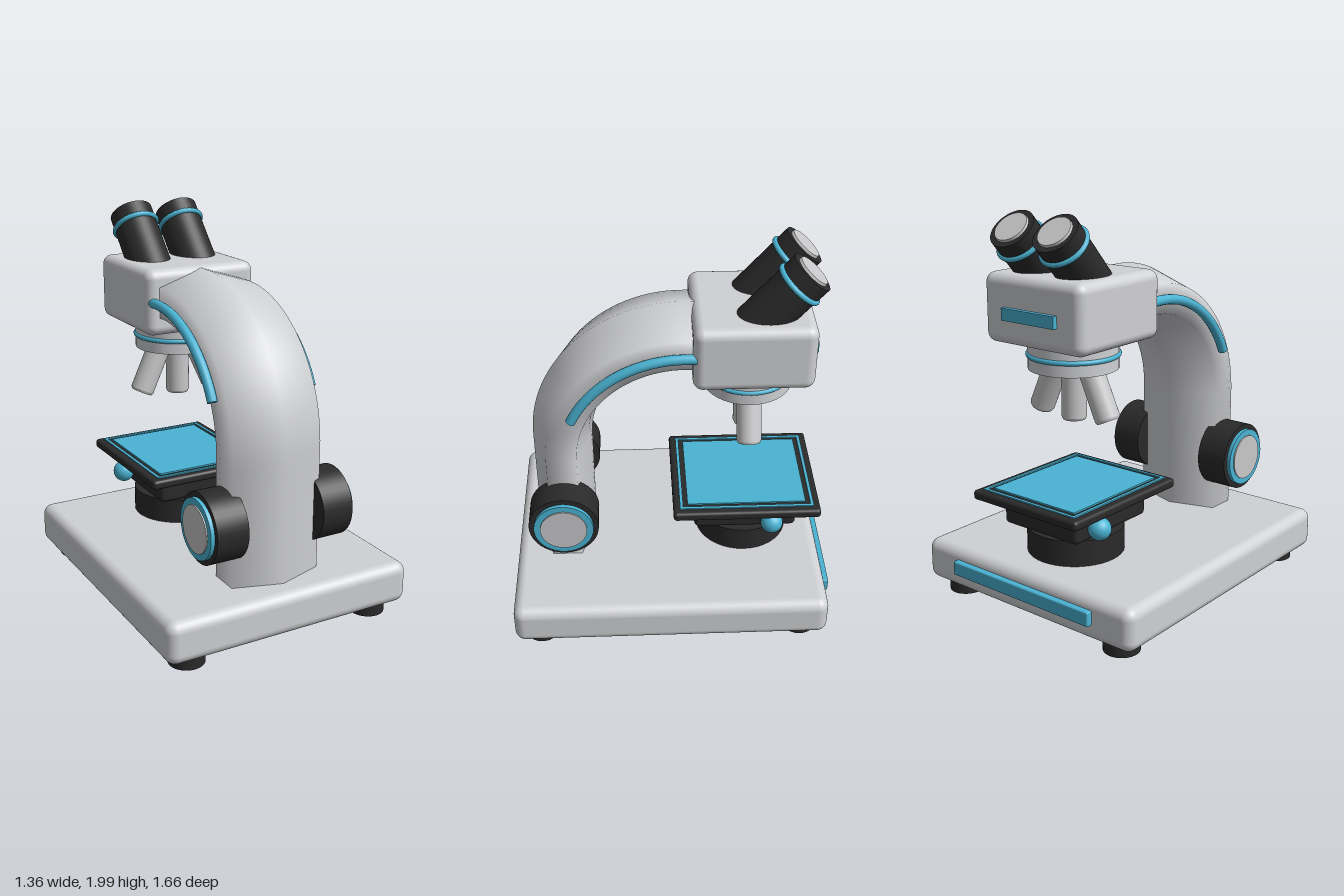
import * as THREE from 'three';
import { mergeVertices } from 'three/addons/utils/BufferGeometryUtils.js';
import { RoundedBoxGeometry } from 'three/addons/geometries/RoundedBoxGeometry.js';

const material = (name, color) => {
  const m = new THREE.MeshStandardMaterial({ color });
  m.name = name;
  return m;
};

// Centre line of the arm: a post, a quarter circle, then a short run into the head.
const POST_Z = 0.56, BEND_Y = 0.92, BEND_R = 0.62, FOOT_Y = 0.25;
const POST = BEND_Y - FOOT_Y, ARC = BEND_R * Math.PI / 2, ARM_LENGTH = POST + ARC + 0.12;
function armPoint(s) {
  const a = THREE.MathUtils.clamp((s - POST) / BEND_R, 0, Math.PI / 2);
  const out = new THREE.Vector3(0, Math.sin(a), Math.cos(a));
  const p = out.clone().multiplyScalar(BEND_R).add(new THREE.Vector3(0, BEND_Y, POST_Z - BEND_R));
  if (s < POST) p.y = FOOT_Y + s;
  if (s > POST + ARC) p.z -= s - POST - ARC;
  return { p, out };
}

// Six-sided column, widened in x and bent along the centre line.
function armGeometry() {
  const g = new THREE.CylinderGeometry(0.155, 0.155, 1, 6, 48, true);
  const pos = g.attributes.position;
  for (let i = 0; i < pos.count; i++) {
    const { p, out } = armPoint((pos.getY(i) + 0.5) * ARM_LENGTH);
    p.addScaledVector(out, pos.getZ(i));
    pos.setXYZ(i, pos.getX(i) * 1.83, p.y, p.z);
  }
  g.deleteAttribute('uv');
  g.deleteAttribute('normal');
  const merged = mergeVertices(g);
  merged.computeVertexNormals();
  return merged;
}

export function createModel() {
  const body = material('body light grey', 0xd0d1d4);
  const metal = material('metal grey', 0xc8c8ca);
  const dark = material('dark rubber', 0x2a2a2a);
  const blue = material('blue accent', 0x4ab4d4);
  const model = new THREE.Group();
  model.name = 'microscope';

  const add = (name, geo, mat, x = 0, y = 0, z = 0, parent = model) => {
    const mesh = new THREE.Mesh(geo, mat);
    mesh.name = name;
    mesh.position.set(x, y, z);
    parent.add(mesh);
    return mesh;
  };
  const cyl = (r, h, rb = r) => new THREE.CylinderGeometry(r, rb, h, 40);
  const rbox = (w, h, d, r) => new RoundedBoxGeometry(w, h, d, 5, r);
  const box = (w, h, d) => new THREE.BoxGeometry(w, h, d);
  const ring = (name, R, r, y, z, parent) => {
    add(name, new THREE.TorusGeometry(R, r, 12, 48), blue, 0, y, z, parent).rotation.x = Math.PI / 2;
  };

  // Base, feet and rear trim
  add('base', rbox(1.36, 0.22, 1.63, 0.055), body, 0, 0.17, 0.015);
  for (const x of [-0.525, 0.525])
    for (const z of [0.697, -0.67]) add('foot', cyl(0.09, 0.07), dark, x, 0.035, z);
  add('baseTrim', rbox(0.9, 0.075, 0.06, 0.008), blue, 0, 0.185, -0.8);

  // Arm and head
  add('arm', armGeometry(), body);
  add('head', rbox(0.62, 0.34, 0.59, 0.05), body, 0, 1.535, -0.395);
  add('headTrim', box(0.33, 0.06, 0.05), blue, 0, 1.52, -0.69);

  // Curved trim rods and focus knobs on both sides
  for (const side of [-1, 1]) {
    const points = [];
    const start = POST + BEND_R * 0.445, end = POST + ARC + 0.06;
    for (let i = 0; i <= 12; i++) {
      const p = armPoint(start + (end - start) * i / 12).p;
      p.x = side * 0.275;
      points.push(p);
    }
    const curve = new THREE.CatmullRomCurve3(points);
    const rod = new THREE.Group();
    rod.name = 'armTrim';
    model.add(rod);
    add('trimRod', new THREE.TubeGeometry(curve, 40, 0.025, 14), blue, 0, 0, 0, rod);
    for (const t of [0, 1]) {
      const p = curve.getPoint(t);
      const cap = add('trimRodEnd', new THREE.CircleGeometry(0.025, 14), blue, p.x, p.y, p.z, rod);
      cap.lookAt(p.clone().addScaledVector(curve.getTangent(t), t ? 1 : -1));
    }

    const knob = new THREE.Group();
    knob.name = 'focusKnob';
    knob.position.set(0, 0.595, POST_Z);
    knob.rotation.z = -side * Math.PI / 2;
    model.add(knob);
    add('knobGrip', cyl(0.18, 0.17), dark, 0, 0.295, 0, knob);
    add('knobRing', cyl(0.153, 0.03), blue, 0, 0.385, 0, knob);
    add('knobCap', cyl(0.12, 0.03), metal, 0, 0.392, 0, knob);
  }

  // Eyepieces, tilted back; local y = 0 is the rim of the barrel
  for (const x of [-0.135, 0.135]) {
    const eye = new THREE.Group();
    eye.name = 'eyepiece';
    eye.position.set(x, 1.917, -0.657);
    eye.rotation.x = -0.73;
    model.add(eye);
    add('barrel', cyl(0.115, 0.46), dark, 0, -0.23, 0, eye);
    ring('barrelRing', 0.115, 0.014, -0.085, 0, eye);
    add('lens', cyl(0.085, 0.03, 0.092), metal, 0, -0.002, 0, eye);
  }

  // Nosepiece with three objectives fanned sideways
  const axisZ = -0.393;
  add('nosepiece', cyl(0.225, 0.16), body, 0, 1.31, axisZ);
  ring('nosepieceRing', 0.222, 0.013, 1.3, axisZ);
  for (const i of [-1, 0, 1]) {
    const objective = new THREE.Group();
    objective.name = 'objective';
    objective.position.set(i * 0.105, 1.24, axisZ);
    objective.rotation.z = i * 0.43;
    model.add(objective);
    add('objectiveTube', cyl(0.063, 0.29), metal, 0, -0.115, 0, objective);
    add('objectiveTip', cyl(0.063, 0.014, 0.057), metal, 0, -0.266, 0, objective);
  }

  // Stage on its round pedestal
  add('pedestal', cyl(0.248, 0.145), dark, 0, 0.342, axisZ);
  add('pedestalCollar', cyl(0.183, 0.04), blue, 0, 0.425, axisZ);
  add('stageCarrier', rbox(0.48, 0.14, 0.54, 0.025), dark, 0, 0.505, axisZ);
  add('stagePlate', rbox(0.68, 0.05, 0.77, 0.018), dark, 0, 0.595, axisZ);
  add('stagePane', box(0.53, 0.009, 0.62), blue, 0, 0.6235, axisZ);
  for (const s of [-1, 1]) {
    add('stageLine', box(0.6, 0.008, 0.016), blue, 0, 0.6225, axisZ + s * 0.342);
    add('stageLine', box(0.016, 0.008, 0.668), blue, s * 0.292, 0.6225, axisZ);
    add('stageKnobStem', cyl(0.025, 0.08), blue, s * 0.25, 0.495, -0.53).rotation.z = Math.PI / 2;
    add('stageKnob', new THREE.SphereGeometry(0.058, 24, 16), blue, s * 0.275, 0.495, -0.53);
  }
  return model;
}
